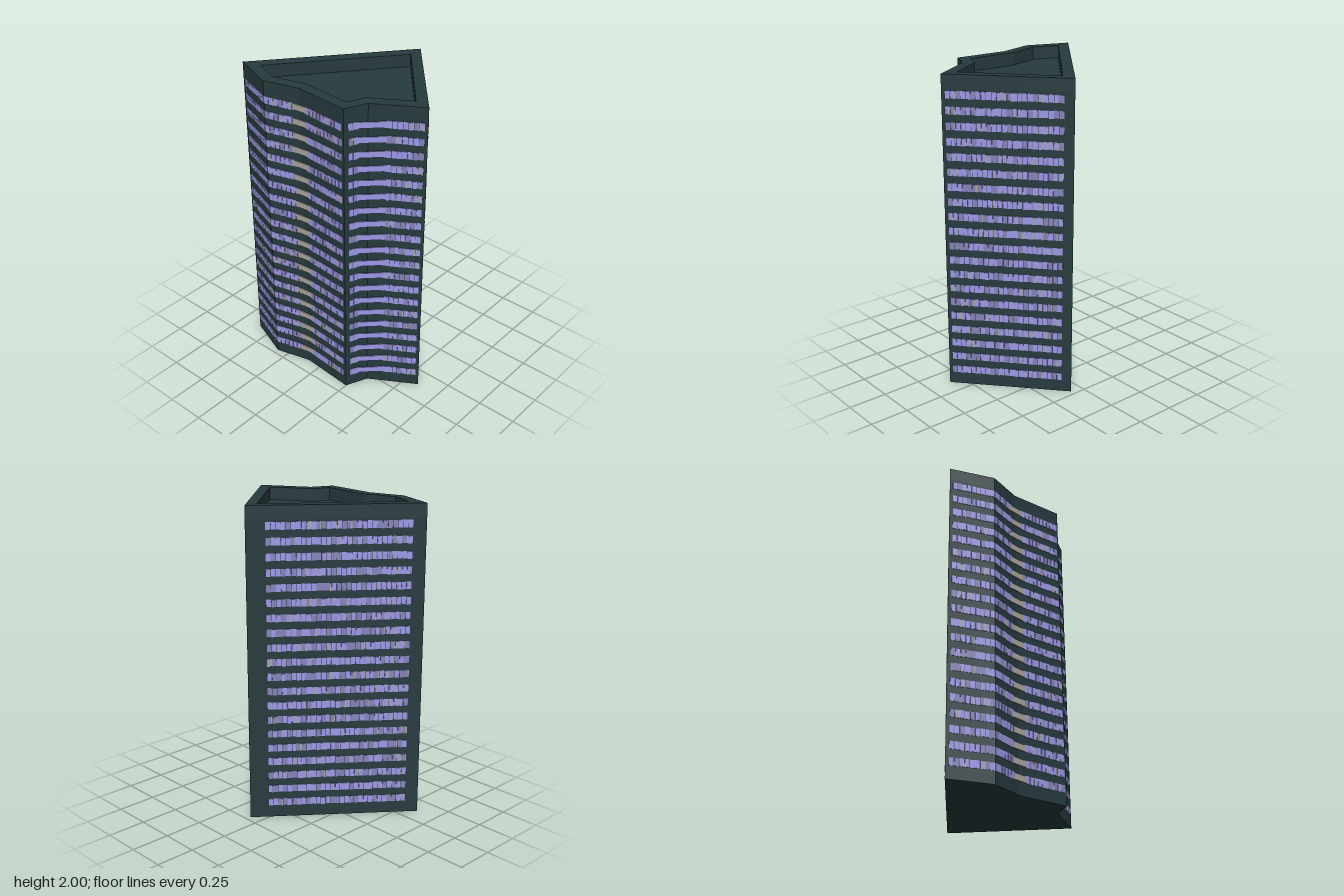
import * as THREE from 'three';
import { mergeGeometries } from 'three/addons/utils/BufferGeometryUtils.js';

// Footprints as [x, z], walked left to right along the front, then round the back
const OUTER = [[-0.6, 0.365], [-0.328, 0.467], [-0.1, 0.405], [0.25, 0.43], [0.31, 0.292], [0.595, 0.117], [0.08, -0.467]];
const INNER = [[-0.485, 0.333], [-0.323, 0.395], [-0.115, 0.334], [0.205, 0.357], [0.255, 0.245], [0.49, 0.1], [0.085, -0.365]];
const HEIGHT = 2, ROOF = 1.92, FLOORS = 20, FLOOR_GAP = 0.0936, FIRST = 0.101, PANE_H = 0.046;

// Window runs: straight stretches of facade; "bridge" spans an inner corner as one panel
const RUNS = [
  { from: [-0.58, 0.3725], to: [-0.328, 0.467] },
  { from: [-0.328, 0.467], to: [-0.15, 0.4186] },
  { from: [-0.15, 0.4186], to: [-0.05, 0.4086], bridge: 'beige' },
  { from: [-0.05, 0.4086], to: [0.24, 0.4293] },
  { from: [0.261, 0.405], to: [0.285, 0.35] },
  { from: [0.285, 0.35], to: [0.4, 0.237], bridge: 'lilac' },
  { from: [0.4, 0.237], to: [0.58, 0.126] },
  { from: [0.58, 0.1], to: [0.119, -0.423] },
  { from: [0.005, -0.375], to: [-0.549, 0.303] },
];
const COLORS = { lilac: 0x9c99e6, mauve: 0x8583b8, beige: 0xa9a79e };

function seeded(seed) {
  return () => {
    seed = (seed * 1664525 + 1013904223) % 4294967296;
    return seed / 4294967296;
  };
}

const trace = (path, pts) => {
  pts.forEach(([x, z], i) => (i ? path.lineTo(x, -z) : path.moveTo(x, -z)));
  path.closePath();
  return path;
};

// Extrudes a plan shape upwards from y0 to y1
function prism(shape, y0, y1) {
  return new THREE.ExtrudeGeometry(shape, { depth: y1 - y0, bevelEnabled: false })
    .rotateX(-Math.PI / 2).translate(0, y0, 0);
}

export function createModel() {
  const group = new THREE.Group();
  const add = (name, geometry, color) => {
    const mesh = new THREE.Mesh(geometry, new THREE.MeshStandardMaterial({ color }));
    mesh.name = name;
    group.add(mesh);
  };

  // Tower block and the parapet round its sunken roof
  add('tower', prism(trace(new THREE.Shape(), OUTER), 0, ROOF), 0x263a3e);
  const ring = trace(new THREE.Shape(), OUTER);
  ring.holes.push(trace(new THREE.Path(), INNER));
  add('parapet', prism(ring, ROOF, HEIGHT), 0x263a3e);

  // Window panes, gathered by colour
  const panes = { lilac: [], mauve: [], beige: [] };
  const rand = seeded(11);
  const pane = (run, a, b, y, height, color) => {
    const dx = run.to[0] - run.from[0], dz = run.to[1] - run.from[1];
    const t = (a + b) / 2;
    panes[color].push(new THREE.BoxGeometry(Math.hypot(dx, dz) * (b - a), height, 0.006)
      .rotateY(Math.atan2(-dz, dx))
      .translate(run.from[0] + dx * t, y, run.from[1] + dz * t));
  };

  for (let floor = 0; floor < FLOORS; floor++) {
    const y = FIRST + floor * FLOOR_GAP;
    for (const run of RUNS) {
      if (run.bridge) {
        pane(run, 0, 1, y, PANE_H * 0.85, run.bridge);
        continue;
      }
      const length = Math.hypot(run.to[0] - run.from[0], run.to[1] - run.from[1]);
      const count = Math.max(1, Math.round(length / 0.03));
      for (let i = 0; i < count; i++) {
        // A pane, often with a narrow curtain strip, then a dark mullion gap
        const split = rand() < 0.5 ? 0.6 + rand() * 0.2 : 0.93;
        const jog = (rand() - 0.5) * 0.004;
        pane(run, i / count, (i + split) / count, y + jog, PANE_H, rand() < 0.7 ? 'lilac' : 'mauve');
        if (split < 0.9) {
          pane(run, (i + split) / count, (i + 0.95) / count, y - jog, PANE_H, rand() < 0.45 ? 'beige' : 'mauve');
        }
      }
    }
  }
  for (const key in panes) add(key + 'Windows', mergeGeometries(panes[key]), COLORS[key]);

  return group;
}
